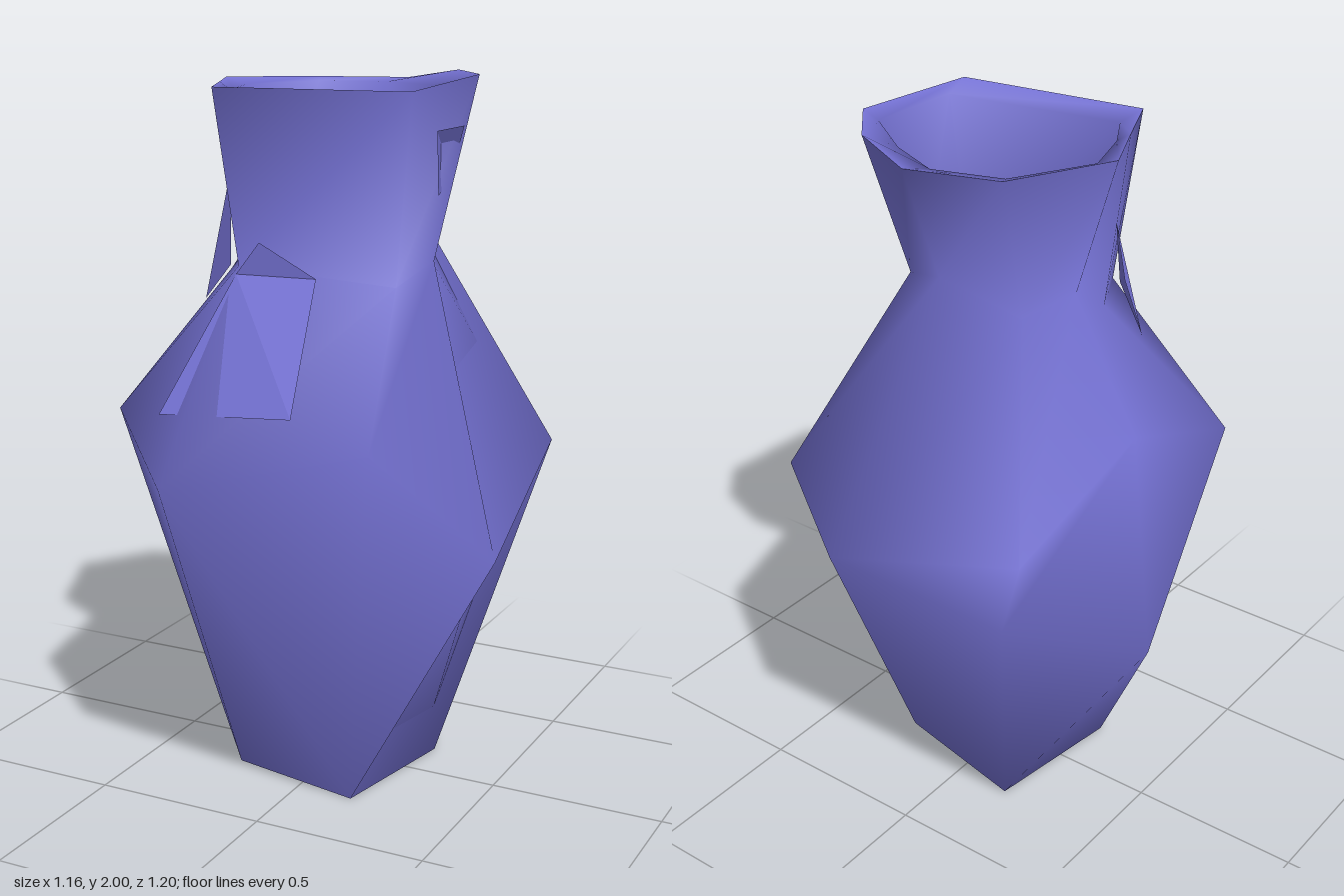
import * as THREE from 'three';
import { mergeVertices } from 'three/addons/utils/BufferGeometryUtils.js';

// Cross-sections, each eight points running clockwise seen from above;
// the square foot repeats its four corners to match
const foot = [[-.17, 0, -.24], [.25, 0, -.15], [.17, 0, .26], [-.23, 0, .18]];
const base = [0, 1, 2, 2, 2, 3, 3, 0].map((k) => foot[k]);
const belly = [[.15, .9, -.6], [.52, .95, -.35], [.58, .76, .23], [.34, 1.09, .51],
  [-.23, .95, .6], [-.5, 1.09, .36], [-.58, .63, -.13], [-.36, .82, -.505]];
const neck = [[.05, 1.62, -.23], [.19, 1.58, -.18], [.27, 1.5, -.05], [.28, 1.47, .22],
  [-.17, 1.5, .26], [-.25, 1.5, .1], [-.26, 1.59, -.05], [-.21, 1.57, -.22]];
const rim = [[.04, 1.97, -.38], [.22, 2, -.32], [.345, 2, -.17], [.33, 1.98, .24],
  [-.21, 1.98, .32], [-.29, 1.98, .14], [-.37, 1.98, -.035], [-.21, 1.97, -.3]];
const innerRim = [[0, 1.96, -.32], [.16, 1.96, -.25], [.31, 1.97, -.15], [.31, 1.96, .15],
  [-.19, 1.96, .24], [-.26, 1.96, .12], [-.31, 1.96, -.04], [-.19, 1.96, -.26]];
const innerNeck = [[.1, 1.58, -.19], [.19, 1.57, -.15], [.25, 1.52, -.05], [.24, 1.48, .14],
  [-.15, 1.5, .18], [-.2, 1.5, .08], [-.23, 1.56, -.08], [-.19, 1.55, -.14]];

// The shoulder repeats the belly except for two raised corners
const shoulder = [...belly.slice(0, 6), [-.51, 1.28, -.13], [-.375, .99, -.45]];
const scaled = (ring, s, lift = 0) => ring.map((p) => [p[0] * s, p[1] + lift, p[2] * s]);
const centre = (y) => base.map(() => [0, y, 0]);

// Smooth skin through successive rings, skipping collapsed triangles
function loft(rings) {
  const pos = [];
  const same = (a, b) => a.every((v, k) => v === b[k]);
  const tri = (a, b, c) => {
    if (!same(a, b) && !same(b, c) && !same(a, c)) pos.push(...a, ...b, ...c);
  };
  for (let r = 0; r < rings.length - 1; r++) {
    const lo = rings[r], up = rings[r + 1];
    for (let i = 0; i < 8; i++) {
      const j = (i + 1) % 8;
      tri(lo[i], up[i], lo[j]);
      tri(up[i], up[j], lo[j]);
    }
  }
  let g = new THREE.BufferGeometry();
  g.setAttribute('position', new THREE.Float32BufferAttribute(pos, 3));
  g = mergeVertices(g);
  g.computeVertexNormals();
  return g;
}

// Flat facet from a fan of corners
function facet(pts) {
  const pos = [];
  for (let i = 1; i < pts.length - 1; i++) pos.push(...pts[0], ...pts[i], ...pts[i + 1]);
  const g = new THREE.BufferGeometry();
  g.setAttribute('position', new THREE.Float32BufferAttribute(pos, 3));
  g.computeVertexNormals();
  return g;
}

export function createModel() {
  const model = new THREE.Group();
  model.name = 'vase';
  const glaze = new THREE.MeshStandardMaterial({ color: 0x7673d6, side: THREE.DoubleSide });
  glaze.name = 'periwinkle glaze';
  const add = (name, geometry) => {
    const mesh = new THREE.Mesh(geometry, glaze);
    mesh.name = name;
    model.add(mesh);
  };

  // Foot, belly, shoulder and neck
  add('outerWall', loft([centre(0), base, belly, shoulder, neck, rim]));

  // Lip, throat and hollow inside
  add('innerWall', loft([rim, innerRim, innerNeck, scaled(belly, .91),
    scaled(base, .9, .05), centre(.05)]));

  // Broken facets on the shoulder and neck
  add('shoulderFacet', facet([[-.17, 1.48, .275], [-.3, 1.12, .475], [.1, 1.15, .475],
    [.06, 1.48, .25], [-.1, 1.57, .272]]));
  add('neckFacet', facet([[.34, 1.87, .1], [.345, 1.87, -.07], [.27, 1.72, -.16], [.315, 1.69, .03]]));
  add('neckFin', facet([[-.28, 1.75, .1], [-.3, 1.58, .12], [-.31, 1.39, .2], [-.2, 1.5, .25]]));
  return model;
}
